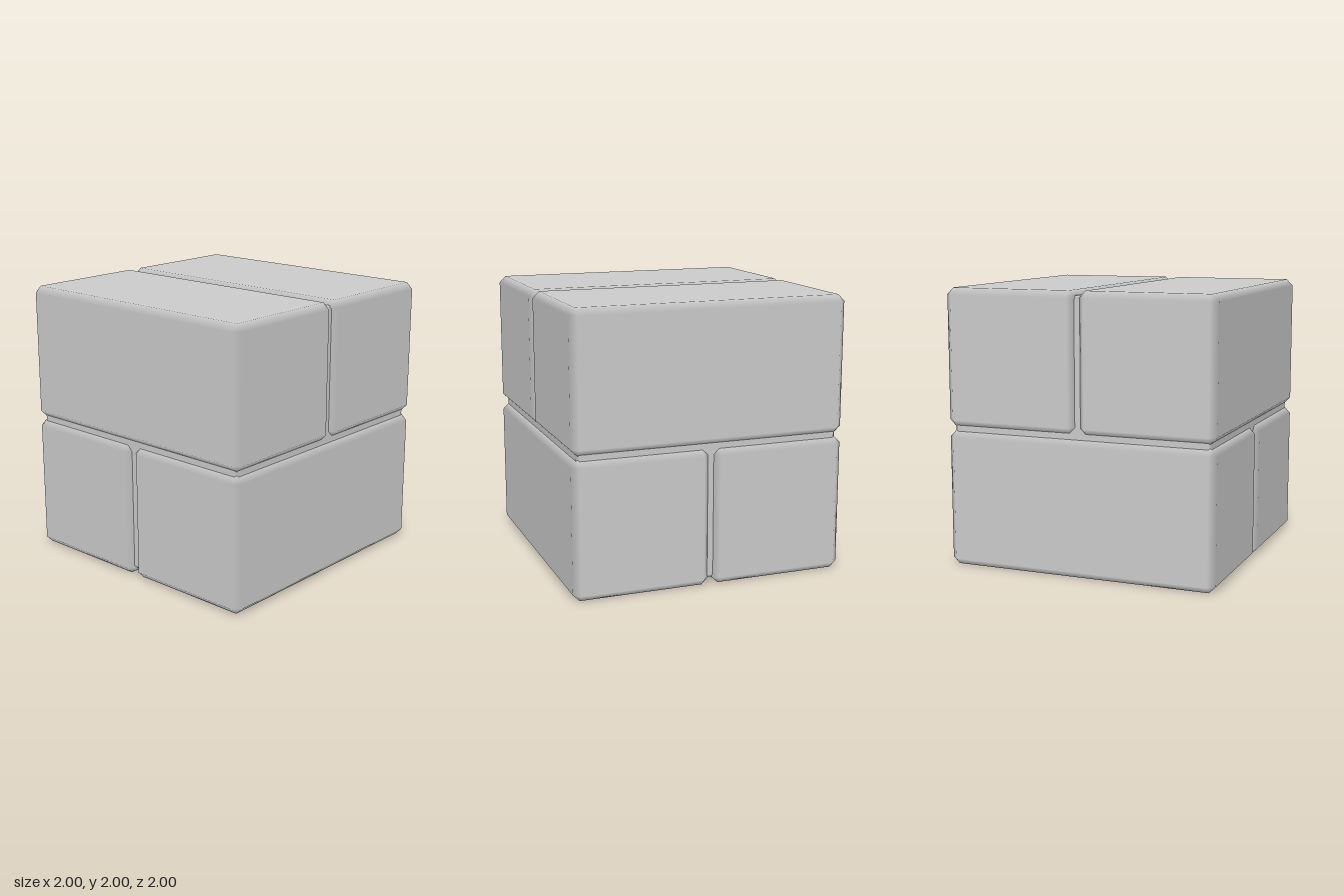
import * as THREE from 'three';

// Box with every edge chamfered; vertices keep their face normals so the bevels shade softly
function bevelBox(size, bevel) {
  const positions = [], normals = [], index = [];
  const id = (axis, s) => axis * 8 + (s[0] > 0 ? 4 : 0) + (s[1] > 0 ? 2 : 0) + (s[2] > 0 ? 1 : 0);
  const signs = [];
  for (const x of [-1, 1]) for (const y of [-1, 1]) for (const z of [-1, 1]) signs.push([x, y, z]);

  // One vertex per corner for each of the three faces meeting there
  for (let axis = 0; axis < 3; axis++) {
    for (const s of signs) {
      for (let k = 0; k < 3; k++) {
        positions.push(s[k] * (size[k] / 2 - (k === axis ? 0 : bevel)));
        normals.push(k === axis ? s[k] : 0);
      }
    }
  }

  // Add a triangle wound so that it faces away from the centre
  const point = (i) => new THREE.Vector3().fromArray(positions, i * 3);
  const tri = (a, b, c) => {
    const pa = point(a);
    const n = point(b).sub(pa).cross(point(c).sub(pa));
    if (n.dot(pa) > 0) index.push(a, b, c);
    else index.push(a, c, b);
  };
  const quad = (a, b, c, d) => { tri(a, b, c); tri(a, c, d); };

  for (let axis = 0; axis < 3; axis++) {
    const u = (axis + 1) % 3, v = (axis + 2) % 3;
    const at = (a, su, sv) => {
      const s = [];
      s[axis] = a; s[u] = su; s[v] = sv;
      return s;
    };
    // Main faces
    for (const a of [-1, 1]) {
      quad(...[[-1, -1], [1, -1], [1, 1], [-1, 1]].map(([p, q]) => id(axis, at(a, p, q))));
    }
    // Chamfers running along this axis
    for (const p of [-1, 1]) for (const q of [-1, 1]) {
      quad(id(u, at(-1, p, q)), id(u, at(1, p, q)), id(v, at(1, p, q)), id(v, at(-1, p, q)));
    }
  }
  // Corner triangles
  for (const s of signs) tri(id(0, s), id(1, s), id(2, s));

  const geometry = new THREE.BufferGeometry();
  geometry.setAttribute('position', new THREE.Float32BufferAttribute(positions, 3));
  geometry.setAttribute('normal', new THREE.Float32BufferAttribute(normals, 3));
  geometry.setIndex(index);
  return geometry;
}

export function createModel() {
  const group = new THREE.Group();
  const material = new THREE.MeshStandardMaterial({ color: 0xcccccc });
  const add = (name, geometry, x, y, z) => {
    const mesh = new THREE.Mesh(geometry, material);
    mesh.name = name;
    mesh.position.set(x, y, z);
    group.add(mesh);
  };

  const gap = 0.026, bevel = 0.048;
  const width = 1 - gap / 2, offset = (1 + gap / 2) / 2;
  const height = 0.986;

  // Two upper bricks side by side, two lower bricks laid across them
  const upper = bevelBox([width, height, 2], bevel);
  const lower = bevelBox([2, height, width], bevel);
  for (const s of [-1, 1]) {
    add(s > 0 ? 'upperLeftBrick' : 'upperRightBrick', upper, s * offset, 2 - height / 2, 0);
    add(s > 0 ? 'lowerFrontBrick' : 'lowerBackBrick', lower, 0, height / 2, s * offset);
  }

  // Recessed core that fills the joints
  add('mortarCore', bevelBox([1.92, 1.92, 1.92], 0.02), 0, 1.005, 0);
  return group;
}
